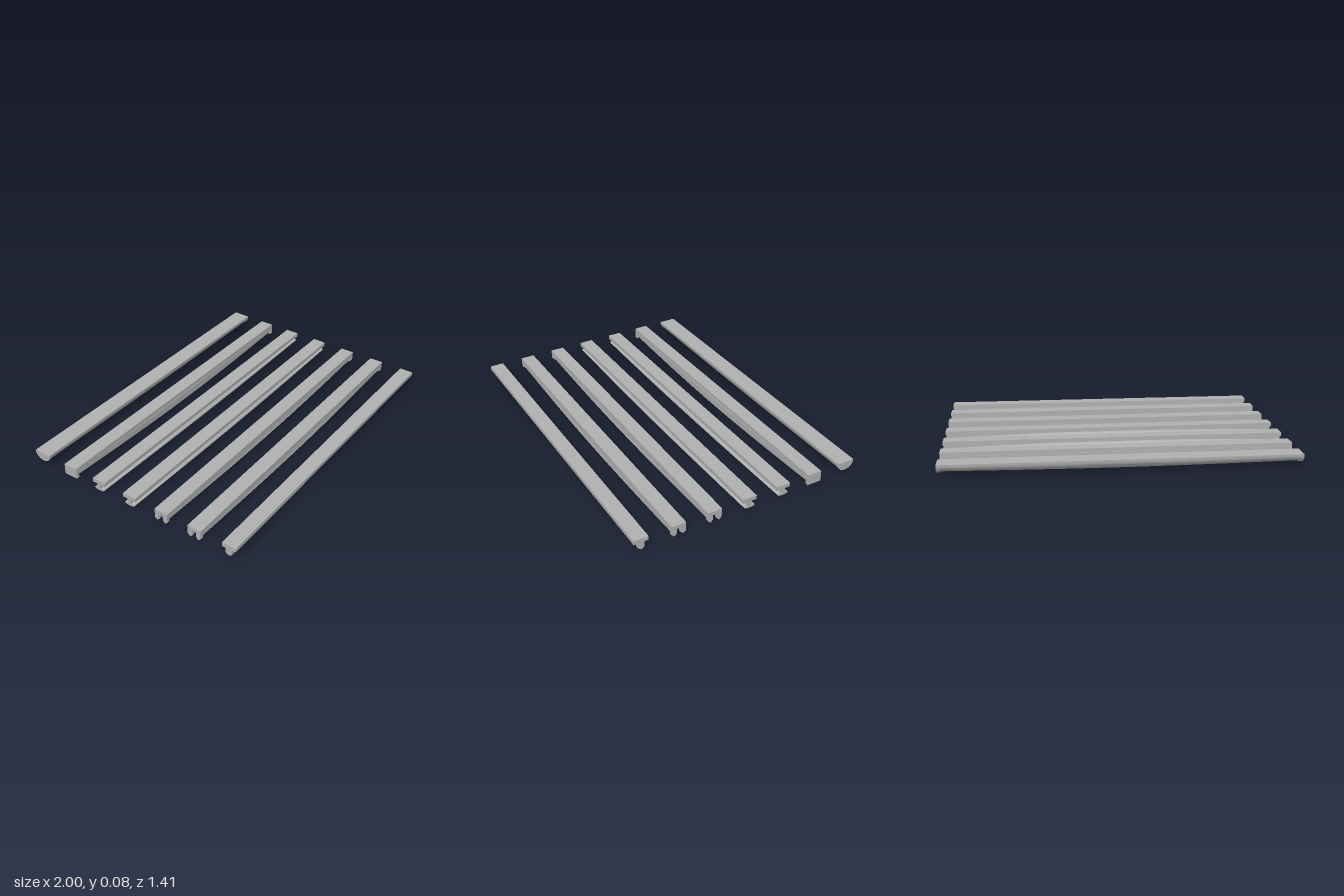
import * as THREE from 'three';
import { toCreasedNormals } from 'three/addons/utils/BufferGeometryUtils.js';

const concrete = new THREE.MeshStandardMaterial({ color: 0xb0b0b0 });
concrete.name = 'concrete grey';
const TOP = 0.079, UNDER = 0.055, END = 0.02;
const lerp = THREE.MathUtils.lerp;

// Loft a [z, y] cross-section, which may change along the span, from x0 to x1
function loft(section, x0, x1, steps) {
  const rings = [], pos = [], idx = [];
  for (let i = 0; i <= steps; i++) {
    const x = lerp(x0, x1, i / steps);
    rings.push(section(x).map(([z, y]) => [x, y, z]));
  }
  const n = rings[0].length;
  rings.forEach(r => r.forEach(p => pos.push(...p)));
  for (let i = 0; i < steps; i++) {
    for (let j = 0; j < n; j++) {
      const a = i * n + j, b = i * n + (j + 1) % n;
      idx.push(a, a + n, b, b, a + n, b + n);
    }
  }
  const last = steps * n;
  for (let j = 1; j < n - 1; j++) idx.push(0, j, j + 1, last, last + j + 1, last + j);
  const g = new THREE.BufferGeometry();
  g.setAttribute('position', new THREE.Float32BufferAttribute(pos, 3));
  g.setIndex(idx);
  return toCreasedNormals(g, 0.6);
}

function add(group, name, geometry) {
  const m = new THREE.Mesh(geometry, concrete);
  m.name = name;
  group.add(m);
}

// Flat slab on top of a beam
function slab(group, halfWidth) {
  const g = new THREE.BoxGeometry(2, TOP - UNDER, halfWidth * 2);
  g.translate(0, (TOP + UNDER) / 2, 0);
  add(group, 'slab', g);
}

// Short end blocks plus a belly that deepens towards midspan (t: 0 end, 1 middle)
function rib(group, name, endSection, bellySection) {
  add(group, name + 'Belly', loft(x => bellySection(Math.cos(x * Math.PI / 2)), -1 + END, 1 - END, 32));
  for (const s of [-1, 1]) {
    const x = s * (1 - END / 2);
    add(group, name + 'EndBlock', loft(() => endSection, x - END / 2, x + END / 2, 1));
  }
}

// Pointed stem
const stem = (c, w, bulge, shoulder, tip) => [
  [c - w, UNDER], [c - w, shoulder + 0.01], [c - w - bulge, shoulder],
  [c, tip], [c + w + bulge, shoulder], [c + w, shoulder + 0.01], [c + w, UNDER],
];

// Rounded foot
function lens(halfWidth, top, mid, bottom) {
  const pts = [];
  for (let i = 0; i < 16; i++) {
    const a = i / 16 * Math.PI * 2, c = Math.cos(a);
    pts.push([-halfWidth * Math.sin(a), mid + c * (c > 0 ? top - mid : mid - bottom)]);
  }
  return pts;
}

// Half-round trough profile
function halfRound(w, bottom) {
  const pts = [];
  for (let i = 0; i <= 14; i++) {
    const a = i / 14 * Math.PI;
    pts.push([-w * Math.cos(a), TOP - 0.008 - (TOP - 0.008 - bottom) * Math.sin(a)]);
  }
  return [[-w, TOP], ...pts, [w, TOP]];
}

const box = (c, w, top, bottom) => [[c - w, top], [c - w, bottom], [c + w, bottom], [c + w, top]];

function stemBeam(group, offsets, w) {
  slab(group, 0.043);
  for (const c of offsets) {
    rib(group, 'stem', stem(c, w, 0, 0.024, 0.01),
      t => stem(c, w, 0.003 * t, lerp(0.04, 0.018, t), lerp(0.032, 0, t)));
  }
}

function footBeam(group) {
  slab(group, 0.043);
  add(group, 'neck', loft(() => box(0, 0.012, UNDER, 0.024), -1, 1, 1));
  rib(group, 'foot', lens(0.034, 0.03, 0.022, 0.012),
    t => lens(lerp(0.034, 0.046, t), lerp(0.03, 0.05, t), lerp(0.022, 0.026, t), lerp(0.014, 0.007, t)));
}

function boxBeam(group) {
  slab(group, 0.043);
  const bow = 0.004;
  for (const s of [-1, 1]) {
    add(group, 'sideWall', loft(x => {
      const t = Math.cos(x * Math.PI / 2);
      return box(s * (0.033 + bow * t), 0.01, UNDER, lerp(0.035, 0.01, t));
    }, -1 + END, 1 - END, 32));
    const x = s * (1 - END / 2);
    add(group, 'endBlock', loft(() => box(0, 0.044, UNDER, 0.012), x - END / 2, x + END / 2, 1));
  }
}

function troughBeam(group) {
  rib(group, 'trough', halfRound(0.054, 0.025),
    t => halfRound(0.054, lerp(0.032, 0.022, t)));
}

export function createModel() {
  const model = new THREE.Group();
  model.name = 'beamSet';
  const twin = g => stemBeam(g, [-0.027, 0.027], 0.015);
  // Seven parallel beams, front to back
  const beams = [
    ['singleStemBeam', 0.66, g => stemBeam(g, [0], 0.019)],
    ['twinStemBeam', 0.44, twin],
    ['twinStemBeam', 0.22, twin],
    ['footedBeam', 0, footBeam],
    ['footedBeam', -0.22, footBeam],
    ['boxBeam', -0.435, boxBeam],
    ['troughBeam', -0.652, troughBeam],
  ];
  for (const [name, z, build] of beams) {
    const g = new THREE.Group();
    g.name = name;
    g.position.z = z;
    build(g);
    model.add(g);
  }
  return model;
}
